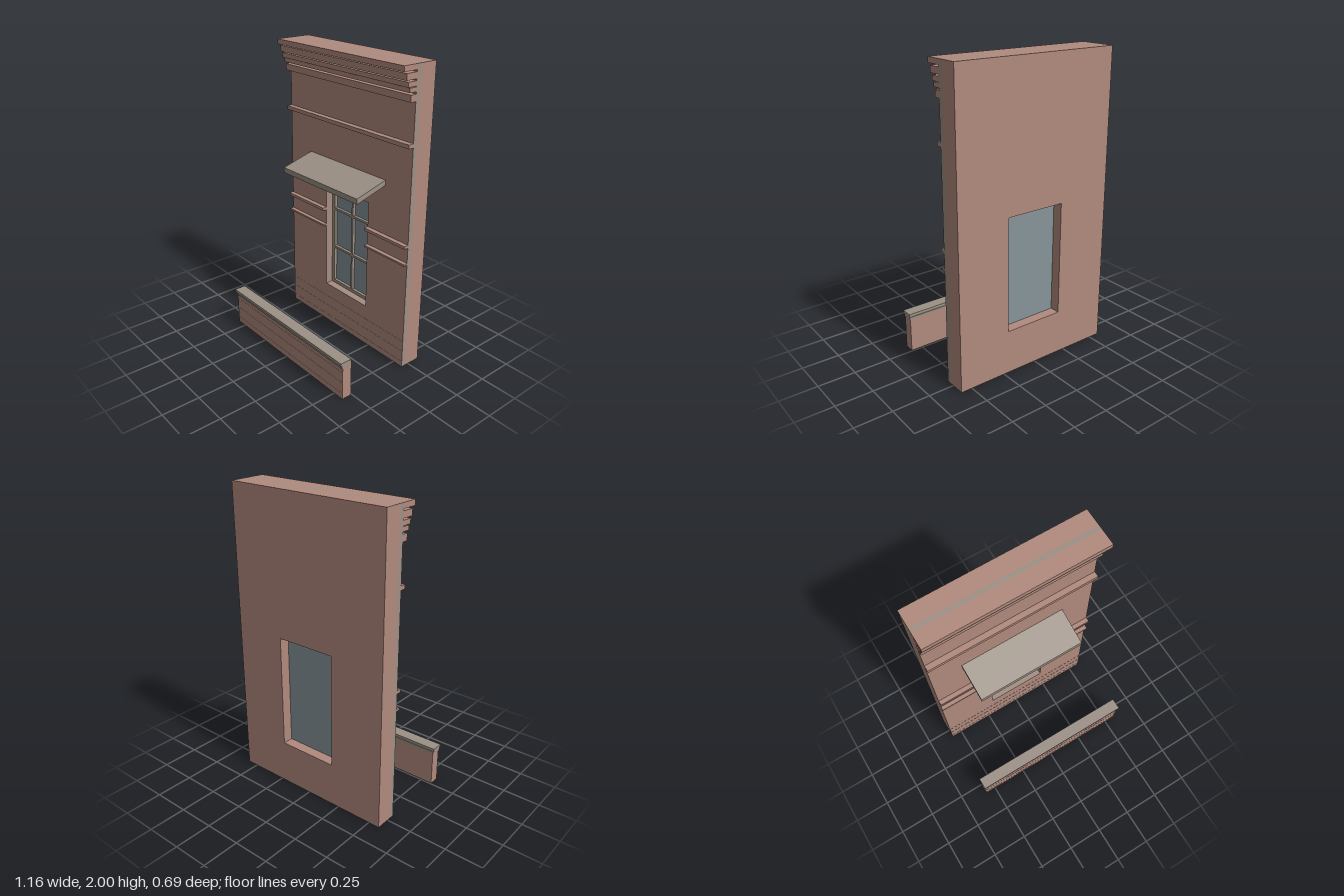
import * as THREE from 'three';

const material = (name, color) => {
  const m = new THREE.MeshStandardMaterial({ color });
  m.name = name;
  return m;
};

export function createModel() {
  const model = new THREE.Group();
  model.name = 'facade';
  const brick = material('brick', 0xb18a7e);
  const stone = material('stone', 0x9c9186);
  const glass = material('glass', 0x87959a);

  const HALF = 0.577, FRONT = -0.192, BACK = -0.343;
  const win = { x0: -0.197, x1: 0.217, y0: 0.297, y1: 1.06 };

  const add = (name, geometry, mat, parent = model) => {
    const mesh = new THREE.Mesh(geometry, mat);
    mesh.name = name;
    parent.add(mesh);
    return mesh;
  };
  // Box given by its limits on each axis
  const box = (name, x0, x1, y0, y1, z0, z1, mat, parent) => {
    const mesh = add(name, new THREE.BoxGeometry(x1 - x0, y1 - y0, z1 - z0), mat, parent);
    mesh.position.set((x0 + x1) / 2, (y0 + y1) / 2, (z0 + z1) / 2);
    return mesh;
  };
  const rectangle = (path, x0, x1, y0, y1) => {
    path.moveTo(x0, y0).lineTo(x1, y0).lineTo(x1, y1).lineTo(x0, y1).closePath();
    return path;
  };

  // Wall: three layers, each with the window opening
  const wallLayer = (name, z0, z1, mat) => {
    const shape = rectangle(new THREE.Shape(), -HALF, HALF, 0, 2);
    shape.holes.push(rectangle(new THREE.Path(), win.x0, win.x1, win.y0, win.y1));
    const g = new THREE.ExtrudeGeometry(shape, { depth: z1 - z0, bevelEnabled: false });
    add(name, g, mat).position.z = z0;
  };
  wallLayer('backWall', BACK, -0.224, brick);
  wallLayer('wallCore', -0.224, -0.199, stone);
  wallLayer('frontWall', -0.199, FRONT, brick);

  // Stepped cornice: [bottom, top, front]
  [
    [1.966, 2, -0.087], [1.915, 1.955, -0.11], [1.875, 1.905, -0.125],
    [1.843, 1.87, -0.14], [1.787, 1.829, -0.152],
  ].forEach(([y0, y1, z]) => box('corniceStep', -HALF, HALF, y0, y1, FRONT, z, brick));

  // String courses; the lower two stop at the window
  box('upperCourse', -HALF, HALF, 1.515, 1.541, FRONT, -0.154, brick);
  [[0.874, 0.894, -0.16], [0.756, 0.769, -0.164]].forEach(([y0, y1, z]) => {
    box('rightCourse', -HALF, win.x0, y0, y1, FRONT, z, brick);
    box('leftCourse', win.x1, HALF, y0, y1, FRONT, z, brick);
  });

  // Window: frame with six panes cut out, glass behind it
  const windowGroup = new THREE.Group();
  windowGroup.name = 'window';
  model.add(windowGroup);
  const frame = rectangle(new THREE.Shape(), win.x0, win.x1, win.y0, win.y1);
  for (const [x0, x1] of [[-0.17, 0.002], [0.017, 0.19]]) {
    for (const [y0, y1] of [[0.322, 0.578], [0.594, 0.869], [0.885, 1.037]]) {
      frame.holes.push(rectangle(new THREE.Path(), x0, x1, y0, y1));
    }
  }
  const frameGeometry = new THREE.ExtrudeGeometry(frame, { depth: 0.02, bevelEnabled: false });
  add('windowFrame', frameGeometry, stone, windowGroup).position.z = -0.265;
  box('windowGlass', win.x0, win.x1, win.y0, win.y1, -0.273, -0.265, glass, windowGroup);

  // Sloping canopy
  const canopy = new THREE.Shape();
  canopy.moveTo(-FRONT, 1.22).lineTo(-FRONT, 1.256).lineTo(-0.041, 1.191).lineTo(-0.041, 1.155).closePath();
  const canopyGeometry = new THREE.ExtrudeGeometry(canopy, { depth: 0.726, bevelEnabled: false });
  canopyGeometry.rotateY(Math.PI / 2);
  add('canopy', canopyGeometry, stone).position.x = -0.364;

  // Low garden wall with coping
  box('lowWall', -HALF, HALF, 0, 0.236, 0.257, 0.326, brick);
  box('copingBase', -0.579, 0.579, 0.229, 0.25, 0.257, 0.334, stone);
  box('copingTop', -0.58, 0.58, 0.25, 0.27, 0.262, 0.343, stone);

  // Thin joint lines near the ground on both walls
  for (const y of [0.04, 0.12, 0.195]) {
    for (const z of [FRONT, 0.326]) {
      box('jointLine', -HALF, HALF, y - 0.002, y + 0.002, z, z + 0.001, stone);
    }
  }
  return model;
}
